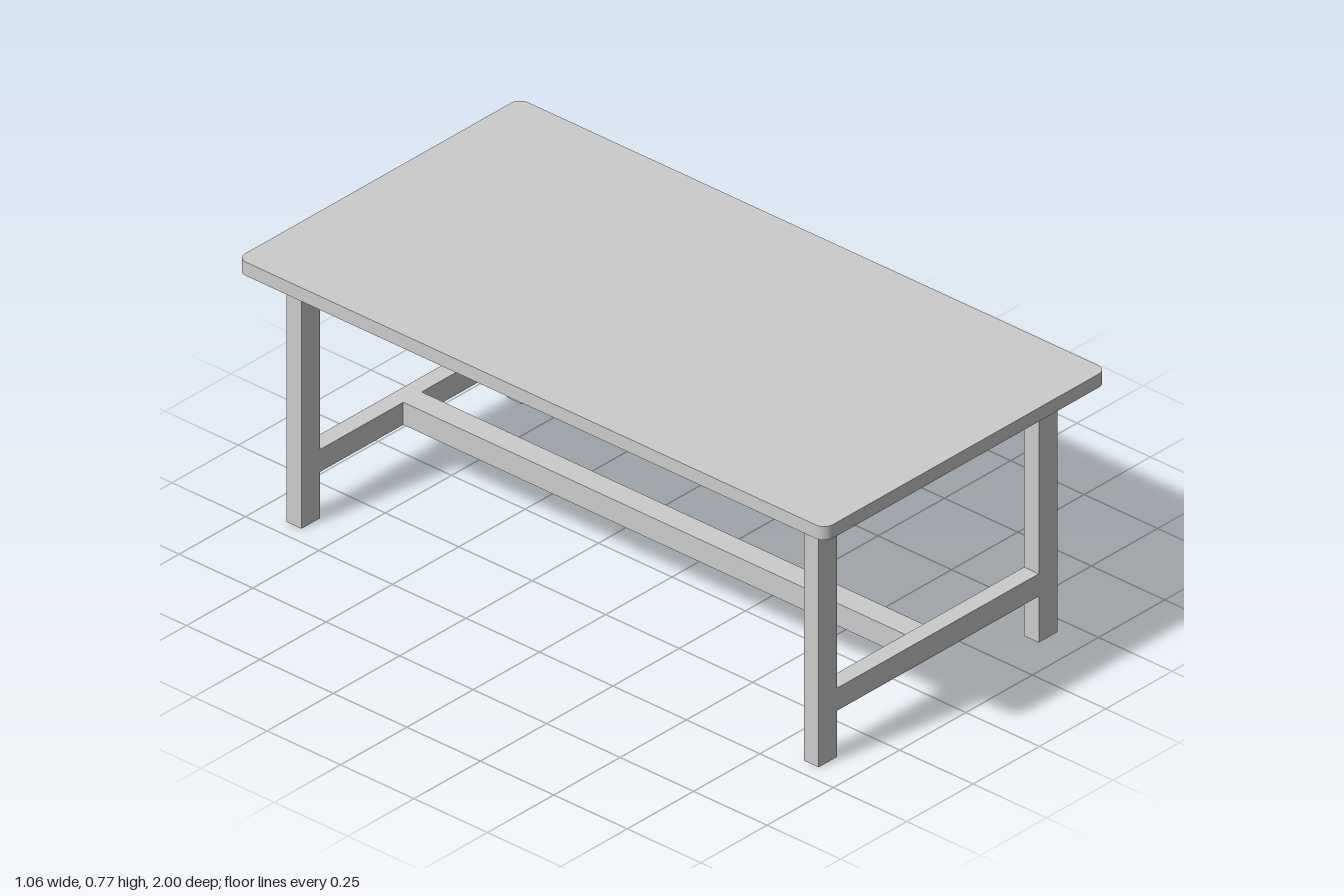
import * as THREE from 'three';

export function createModel() {
  const table = new THREE.Group();
  table.name = 'table';
  const material = new THREE.MeshStandardMaterial({ color: 0xcccccc, flatShading: true });

  const add = (name, geometry) => {
    const mesh = new THREE.Mesh(geometry, material);
    mesh.name = name;
    table.add(mesh);
    return mesh;
  };
  // Box given by its minimum and maximum along each axis
  const box = (name, [x0, x1], [y0, y1], [z0, z1]) => {
    const mesh = add(name, new THREE.BoxGeometry(x1 - x0, y1 - y0, z1 - z0));
    mesh.position.set((x0 + x1) / 2, (y0 + y1) / 2, (z0 + z1) / 2);
    return mesh;
  };

  // Tabletop with rounded corners
  const w = 0.532, d = 1, r = 0.03;
  const outline = new THREE.Shape();
  outline.absarc(w - r, d - r, r, 0, Math.PI / 2);
  outline.absarc(-w + r, d - r, r, Math.PI / 2, Math.PI);
  outline.absarc(-w + r, -d + r, r, Math.PI, Math.PI * 1.5);
  outline.absarc(w - r, -d + r, r, Math.PI * 1.5, Math.PI * 2);
  outline.closePath();
  const top = new THREE.ExtrudeGeometry(outline, { depth: 0.04, bevelEnabled: false, curveSegments: 4 });
  top.rotateX(-Math.PI / 2);
  add('tabletop', top).position.y = 0.734;

  // Solid apron under the top, flush with the legs
  box('apron', [-0.45, 0.45], [0.683, 0.734], [-0.905, 0.905]);

  // Legs and the low rail joining each end pair
  for (const [end, z] of [['front', 0.88], ['back', -0.88]]) {
    const depth = [z - 0.025, z + 0.025];
    for (const [side, x] of [['Left', 0.415], ['Right', -0.415]]) {
      box(end + side + 'Leg', [x - 0.035, x + 0.035], [0, 0.683], depth);
    }
    box(end + 'Rail', [-0.38, 0.38], [0.136, 0.202], depth);
  }

  // Long stretcher, slightly off centre and dipping a little to the front
  const stretcher = box('stretcher', [-0.066, 0.003], [0.135, 0.201], [-0.856, 0.856]);
  stretcher.rotation.x = 0.0015;

  return table;
}
